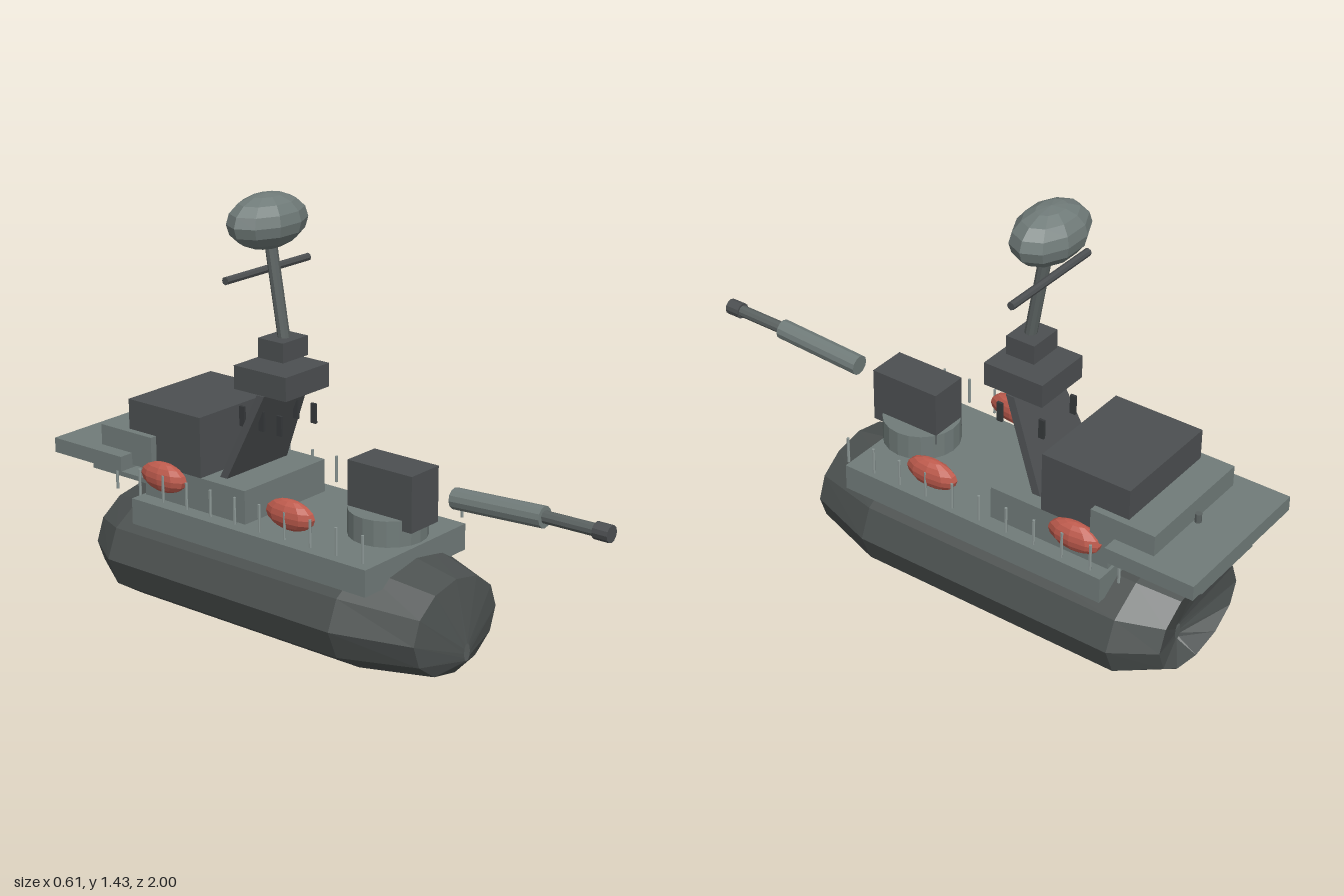
import * as THREE from 'three';

const mat = (name, color, extra = {}) => {
  const m = new THREE.MeshStandardMaterial({ color, flatShading: true, ...extra });
  m.name = name;
  return m;
};

// Lofted hull: each ring is [z, centreY, radiusX, radiusY], listed stern to bow
function hullGeometry(rings, sides = 12) {
  const pos = [], idx = [];
  for (const [z, cy, rx, ry] of rings)
    for (let j = 0; j < sides; j++) {
      const a = (j / sides) * Math.PI * 2;
      pos.push(rx * Math.cos(a), cy + ry * Math.sin(a), z);
    }
  for (let i = 0; i < rings.length - 1; i++)
    for (let j = 0; j < sides; j++) {
      const k = (j + 1) % sides;
      const a = i * sides + j, b = i * sides + k, c = b + sides, d = a + sides;
      idx.push(a, b, c, a, c, d);
    }
  const g = new THREE.BufferGeometry();
  g.setAttribute('position', new THREE.Float32BufferAttribute(pos, 3));
  g.setIndex(idx);
  g.computeVertexNormals();
  return g;
}

export function createModel() {
  const ship = new THREE.Group();
  ship.name = 'warship';
  const hullGrey = mat('hull grey', 0x4c5150, { side: THREE.DoubleSide });
  const deckGrey = mat('deck grey', 0x707b79);
  const darkGrey = mat('dark grey', 0x4c4f51);
  const mastGrey = mat('mast grey', 0x5a6160);
  const railGrey = mat('rail grey', 0x8a9593);
  const slatGrey = mat('slat grey', 0x36393b);
  const red = mat('raft red', 0xc05c4e);

  const add = (name, geo, material, x = 0, y = 0, z = 0) => {
    const m = new THREE.Mesh(geo, material);
    m.name = name;
    m.position.set(x, y, z);
    ship.add(m);
    return m;
  };
  // Box centred on x = 0 from half width and y, z ranges
  const box = (name, material, hw, y0, y1, z0, z1) =>
    add(name, new THREE.BoxGeometry(hw * 2, y1 - y0, z1 - z0), material, 0, (y0 + y1) / 2, (z0 + z1) / 2);
  // Cylinder between two points
  const rod = (name, material, r, a, b, sides = 10) => {
    const p = new THREE.Vector3(...a), q = new THREE.Vector3(...b);
    const dir = q.clone().sub(p);
    const m = add(name, new THREE.CylinderGeometry(r, r, dir.length(), sides), material);
    m.position.copy(p).add(q).multiplyScalar(0.5);
    m.quaternion.setFromUnitVectors(new THREE.Vector3(0, 1, 0), dir.normalize());
    return m;
  };
  const ellipsoid = (name, material, x, y, z, rx, ry, rz) =>
    add(name, new THREE.SphereGeometry(1, 10, 8).scale(rx, ry, rz), material, x, y, z);

  // Hull with recessed stern and tiny bow opening
  add('hull', hullGeometry([
    [-0.80, 0.115, 0.015, 0.03],
    [-0.87, 0.205, 0.22, 0.15],
    [-0.735, 0.2, 0.305, 0.195],
    [0.2, 0.2, 0.305, 0.195],
    [0.455, 0.19, 0.21, 0.155],
    [0.5, 0.115, 0.015, 0.03],
  ]), hullGrey);

  // Deck and deckhouse
  box('deck', deckGrey, 0.252, 0.325, 0.413, -0.67, 0.302);
  box('deckhouse', deckGrey, 0.196, 0.413, 0.525, -0.66, -0.228);

  // Gun turret
  add('turretBase', new THREE.CylinderGeometry(0.127, 0.127, 0.085, 20), deckGrey, 0, 0.473, 0.19);
  box('turret', darkGrey, 0.067, 0.482, 0.665, 0.082, 0.332);
  rod('gunSleeve', deckGrey, 0.034, [0, 0.605, 0.445], [0, 0.623, 0.77], 12);
  rod('gunBarrel', mastGrey, 0.02, [0, 0.624, 0.76], [0, 0.627, 0.96]);
  rod('gunMuzzle', darkGrey, 0.027, [0, 0.627, 0.948], [0, 0.627, 1], 12);

  // Leaning bridge tower: a slab, narrow at the top and sheared backwards at the foot
  const slab = new THREE.BoxGeometry(1, 1, 0.03);
  const p = slab.attributes.position;
  for (let i = 0; i < p.count; i++) {
    const t = p.getY(i) + 0.5;
    p.setXYZ(i, Math.sign(p.getX(i)) * (0.146 - 0.036 * t), 0.525 + 0.29 * t, p.getZ(i) - 0.362 + 0.128 * t);
  }
  slab.computeVertexNormals();
  add('bridgeTower', slab, darkGrey);
  box('bridge', darkGrey, 0.105, 0.815, 0.893, -0.348, -0.133);
  box('mastFoot', darkGrey, 0.06, 0.92, 0.984, -0.285, -0.182);
  for (const s of [-1, 1])
    for (const z of [-0.178, -0.252, -0.334])
      add('towerSlat', new THREE.BoxGeometry(0.009, 0.066, 0.02), slatGrey, s * 0.083, 0.722, z);

  // Mast, yard and radar
  rod('mast', mastGrey, 0.02, [0, 0.975, -0.228], [0, 1.3, -0.284]);
  rod('yard', darkGrey, 0.013, [-0.196, 1.193, -0.295], [0.196, 1.193, -0.295], 8);
  ellipsoid('radar', deckGrey, 0, 1.348, -0.293, 0.155, 0.088, 0.102);

  // Hangar and stern platforms
  box('hangar', darkGrey, 0.196, 0.525, 0.727, -0.727, -0.415);
  box('hangarStep', deckGrey, 0.22, 0.515, 0.625, -0.832, -0.608);
  box('flightPlatform', deckGrey, 0.272, 0.505, 0.555, -1, -0.695);
  box('lowerPlatform', deckGrey, 0.145, 0.425, 0.441, -0.955, -0.65);
  rod('sternPost', mastGrey, 0.011, [0, 0.435, -0.845], [0, 0.585, -0.845], 8);

  // Rafts and railing posts on both sides
  for (const s of [-1, 1]) {
    for (const z of [-0.02, -0.555]) ellipsoid('raft', red, s * 0.219, 0.504, z, 0.035, 0.05, 0.095);
    for (let i = 0; i < 11; i++) {
      const z = 0.29 - i * 0.1025;
      rod('railPost', railGrey, 0.005, [s * 0.25, 0.432, z], [s * 0.25, 0.522, z], 6);
    }
  }
  return ship;
}
